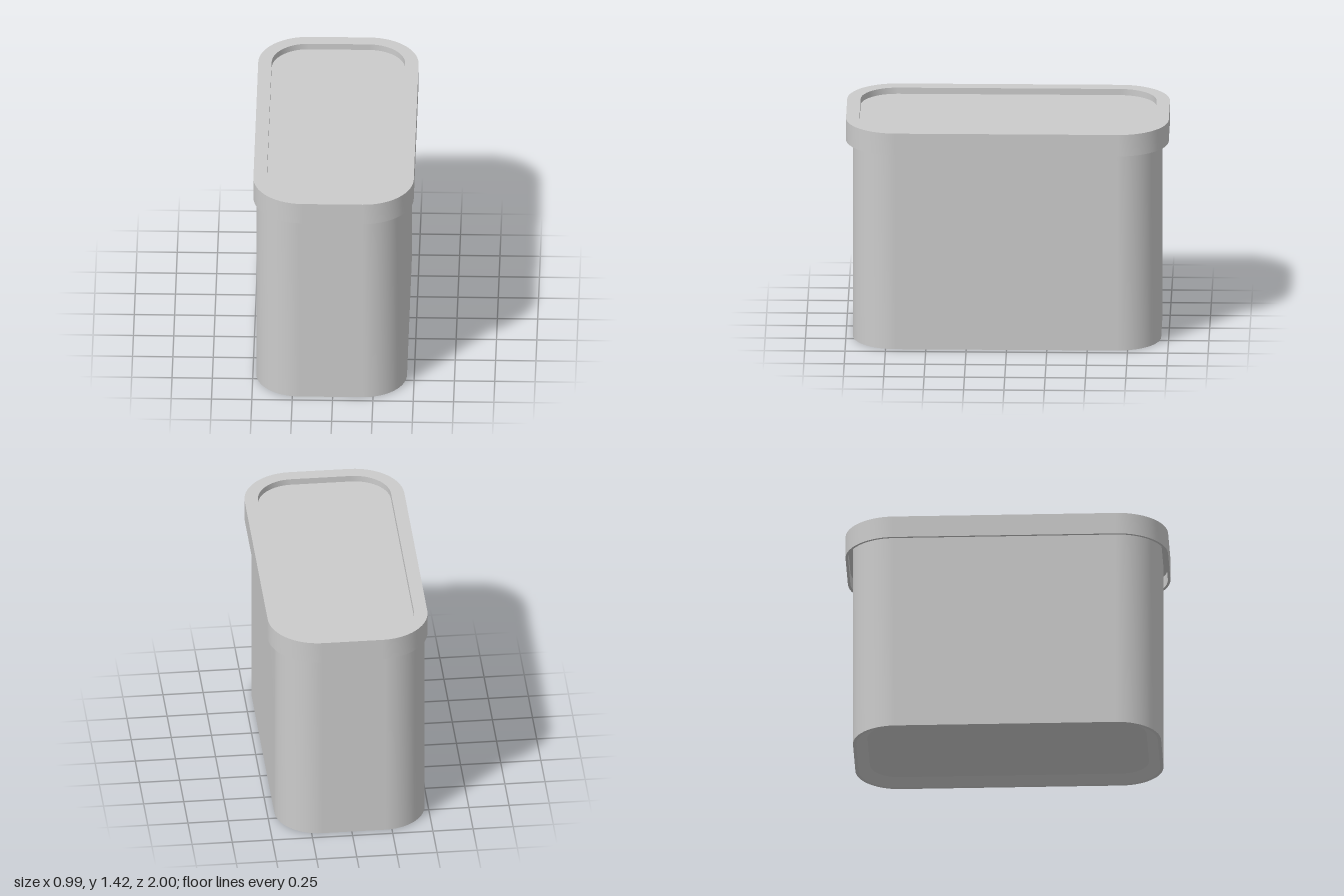
import * as THREE from 'three';

const material = new THREE.MeshStandardMaterial({ color: 0xcccccc, side: THREE.DoubleSide });
const CORNER_STEPS = 14;

// Rounded rectangle loop, moved inwards by inset; a null inset collapses to the centre
function loop(halfX, halfZ, radius, inset, y) {
  const points = [];
  for (let q = 0; q < 4; q++) {
    const sx = q === 0 || q === 3 ? 1 : -1;
    const sz = q < 2 ? 1 : -1;
    for (let i = 0; i <= CORNER_STEPS; i++) {
      const t = (q + i / CORNER_STEPS) * Math.PI / 2;
      if (inset === null) points.push([0, y, 0]);
      else points.push([
        sx * (halfX - radius) + (radius - inset) * Math.cos(t), y,
        sz * (halfZ - radius) + (radius - inset) * Math.sin(t),
      ]);
    }
  }
  return points;
}

// Sweeps [inset, y] pairs round the rectangle: each band is smooth, with sharp edges between bands
function sweep(name, halfX, halfZ, radius, profile) {
  const positions = [], indices = [];
  for (let k = 0; k < profile.length - 1; k++) {
    const from = loop(halfX, halfZ, radius, ...profile[k]);
    const to = loop(halfX, halfZ, radius, ...profile[k + 1]);
    const n = from.length, base = positions.length / 3;
    positions.push(...from.flat(), ...to.flat());
    for (let i = 0; i < n; i++) {
      const j = (i + 1) % n;
      const a = base + i, b = base + j, c = base + n + j, d = base + n + i;
      if (profile[k][0] !== null) indices.push(a, c, b);
      if (profile[k + 1][0] !== null) indices.push(a, d, c);
    }
  }
  const geometry = new THREE.BufferGeometry();
  geometry.setAttribute('position', new THREE.Float32BufferAttribute(positions, 3));
  geometry.setIndex(indices);
  geometry.computeVertexNormals();
  const mesh = new THREE.Mesh(geometry, material);
  mesh.name = name;
  return mesh;
}

export function createModel() {
  const group = new THREE.Group();
  group.name = 'lidded container';

  // Tall body with a shallow sloped recess under its base
  const body = sweep('body', 0.467, 0.955, 0.27, [
    [null, 0.04], [0.09, 0.04], [0.02, 0], [0, 0], [0, 1.36], [null, 1.36],
  ]);
  body.position.set(-0.012, 0, 0.002);
  group.add(body);

  // Lid with a hanging skirt and a raised rim round a sunken top
  group.add(sweep('lid', 0.497, 1, 0.31, [
    [null, 1.36], [0.016, 1.36], [0.016, 1.28], [0, 1.28],
    [0, 1.42], [0.083, 1.42], [0.083, 1.38], [null, 1.38],
  ]));

  return group;
}
